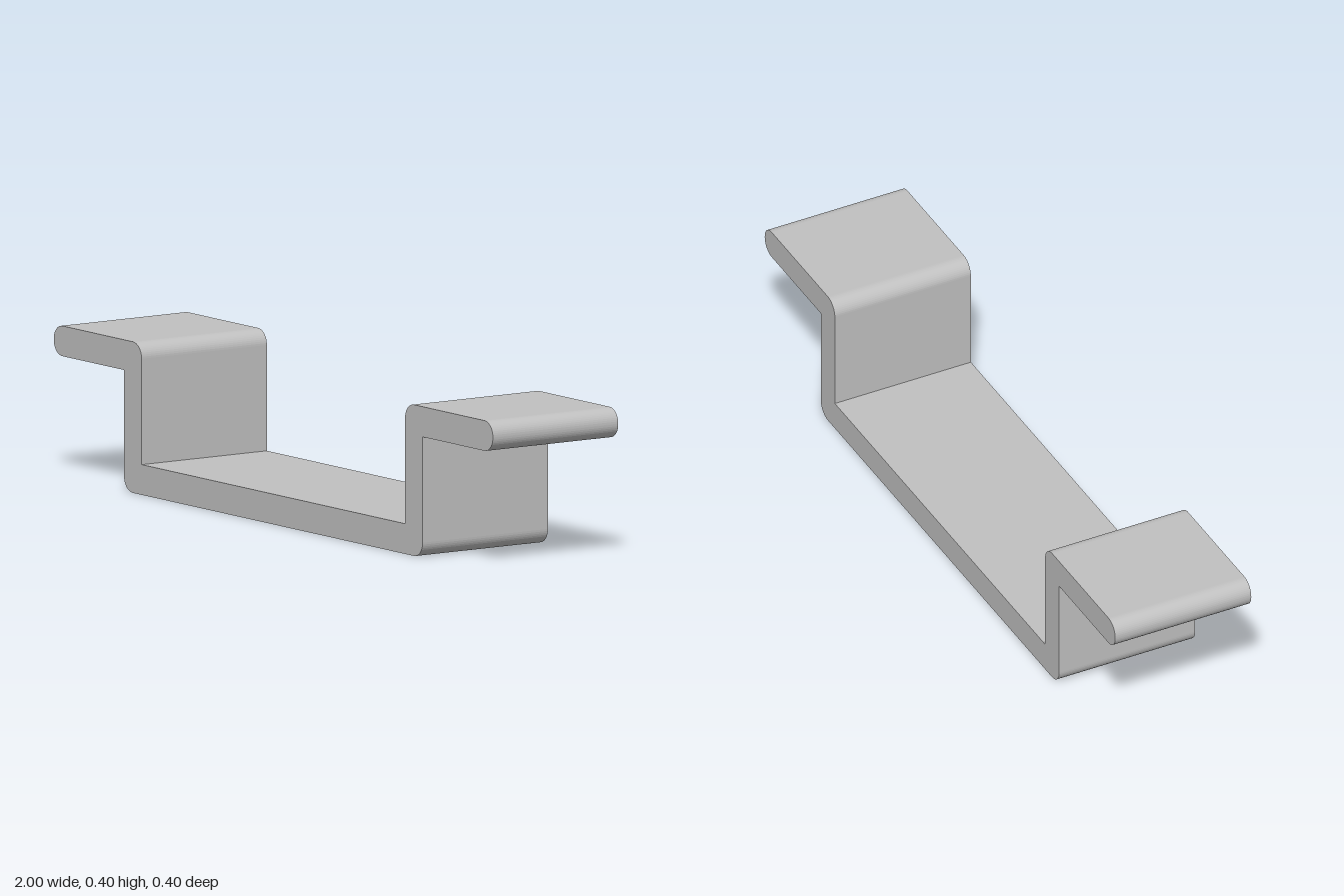
import * as THREE from 'three';

// Closed outline through [x, y, radius] corners, each rounded by its own radius
function roundedOutline(corners) {
  const shape = new THREE.Shape();
  const n = corners.length;
  corners.forEach(([x, y, r], i) => {
    const p = new THREE.Vector2(x, y);
    const prev = corners[(i + n - 1) % n];
    const next = corners[(i + 1) % n];
    const a = p.clone().sub(new THREE.Vector2(prev[0], prev[1])).normalize();
    const b = new THREE.Vector2(next[0], next[1]).sub(p).normalize();
    const start = p.clone().addScaledVector(a, -r);
    if (i === 0) shape.moveTo(start.x, start.y);
    else shape.lineTo(start.x, start.y);
    if (r > 0) {
      const c = start.clone().addScaledVector(b, r);
      shape.absarc(c.x, c.y, r, Math.atan2(-b.y, -b.x), Math.atan2(a.y, a.x), a.cross(b) < 0);
    }
  });
  shape.closePath();
  return shape;
}

export function createModel() {
  const group = new THREE.Group();
  group.name = 'bracket';
  const metal = new THREE.MeshStandardMaterial({ color: 0xc0c0c0 });
  metal.name = 'grey metal';

  // Right half from the base up to the flange and back down, then mirrored
  const half = [
    [0.68, 0, 0.04],
    [0.68, 0.32, 0],
    [1, 0.32, 0.039],
    [1, 0.4, 0.039],
    [0.6, 0.4, 0.04],
    [0.6, 0.08, 0],
  ];
  const mirrored = half.map(([x, y, r]) => [-x, y, r]).reverse();
  const depth = 0.4;
  const geometry = new THREE.ExtrudeGeometry(roundedOutline([...half, ...mirrored]), {
    depth, bevelEnabled: false, curveSegments: 6,
  });
  geometry.translate(0, 0, -depth / 2);

  const strap = new THREE.Mesh(geometry, metal);
  strap.name = 'bentStrap';
  group.add(strap);
  return group;
}
